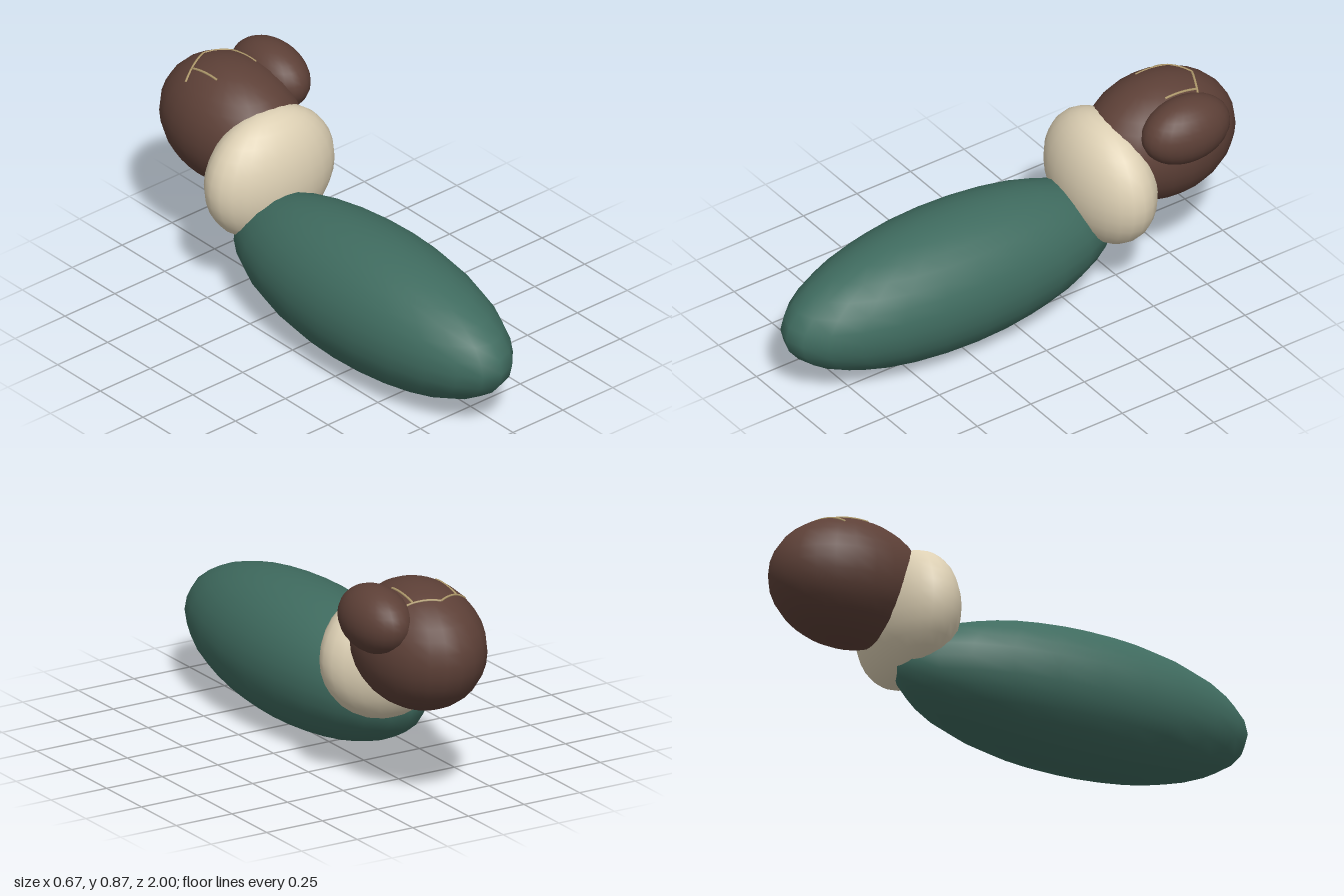
import * as THREE from 'three';

const material = (name, color) => {
  const m = new THREE.MeshStandardMaterial({ color });
  m.name = name;
  return m;
};

export function createModel() {
  const group = new THREE.Group();
  const green = material('deepGreen', 0x3f6b5f);
  const cream = material('cream', 0xddd0b4);
  const brown = material('brown', 0x5d4037);
  const tan = material('tan', 0xb09a6c);

  const ellipsoid = (name, mat, center, radii) => {
    const mesh = new THREE.Mesh(new THREE.SphereGeometry(1, 24, 16), mat);
    mesh.name = name;
    mesh.position.set(...center);
    mesh.scale.set(...radii);
    group.add(mesh);
  };

  // Long body, collar, and rounded head with a side bun
  const headCenter = [0.025, 0.613, -0.68];
  const headRadii = [0.24, 0.253, 0.32];
  ellipsoid('body', green, [-0.055, 0.286, 0.245], [0.282, 0.282, 0.755]);
  ellipsoid('collar', cream, [0, 0.505, -0.43], [0.296, 0.268, 0.168]);
  ellipsoid('head', brown, headCenter, headRadii);
  ellipsoid('sideBun', brown, [0.215, 0.745, -0.675], [0.122, 0.133, 0.19]);

  // Fine trim lines lying on the top of the head
  const onHead = (x, z) => {
    const u = (x - headCenter[0]) / headRadii[0];
    const v = (z - headCenter[2]) / headRadii[2];
    return new THREE.Vector3(x, headCenter[1] + headRadii[1] * Math.sqrt(1 - u * u - v * v) - 0.002, z);
  };
  const trim = (name, [x0, z0], [x1, z1]) => {
    const points = [];
    for (let i = 0; i <= 8; i++) {
      const t = i / 8;
      points.push(onHead(x0 + (x1 - x0) * t, z0 + (z1 - z0) * t));
    }
    const curve = new THREE.CatmullRomCurve3(points);
    const mesh = new THREE.Mesh(new THREE.TubeGeometry(curve, 16, 0.005, 6), tan);
    mesh.name = name;
    group.add(mesh);
  };
  for (const [side, s] of [['left', 1], ['right', -1]]) {
    trim(side + 'TrimSlope', [0.022, -0.84], [0.022 + s * 0.15, -0.77]);
    trim(side + 'TrimPost', [0.022 + s * 0.098, -0.795], [0.022 + s * 0.098, -0.645]);
  }

  return group;
}
